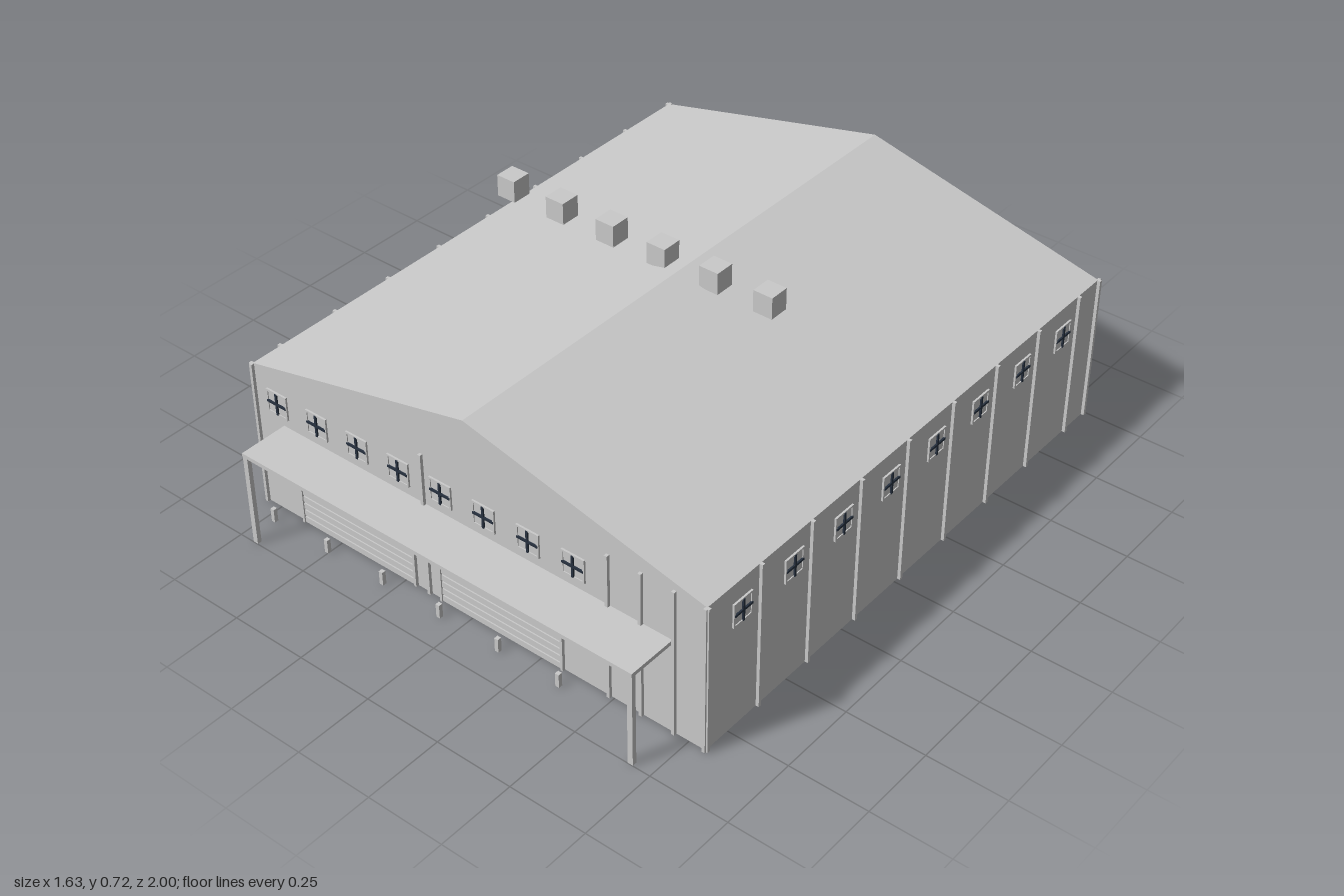
import * as THREE from 'three';

const HALF = 0.803, FRONT = 0.84, BACK = -0.99, EAVE = 0.487, RIDGE = 0.674;
const WIDTH = HALF * 2, DEPTH = FRONT - BACK;

export function createModel() {
  const cladding = new THREE.MeshStandardMaterial({ color: 0xcacaca, side: THREE.DoubleSide });
  cladding.name = 'lightGreyCladding';
  const glazingBar = new THREE.MeshStandardMaterial({ color: 0x27313f });
  glazingBar.name = 'darkSlate';

  const model = new THREE.Group();
  model.name = 'warehouse';

  const box = (parent, name, w, h, d, x, y, z, mat = cladding) => {
    const m = new THREE.Mesh(new THREE.BoxGeometry(w, h, d), mat);
    m.name = name;
    m.position.set(x, y, z);
    parent.add(m);
    return m;
  };

  // Square window: pane, thin surround and a dark cross
  const addWindow = (wall, u) => {
    const g = new THREE.Group();
    g.name = 'window';
    g.position.set(u, 0.387, 0);
    wall.add(g);
    const s = 0.078, t = 0.006;
    box(g, 'windowPane', s, s, 0.006, 0, 0, 0);
    for (const k of [-1, 1]) {
      box(g, 'windowFrameSide', t, s, 0.012, k * (s - t) / 2, 0, 0);
      box(g, 'windowFrameRail', s, t, 0.012, 0, k * (s - t) / 2, 0);
    }
    box(g, 'verticalBar', 0.007, s - t, 0.012, 0, 0, 0.002, glazingBar);
    box(g, 'horizontalBar', s - t, 0.007, 0.012, 0, 0, 0.002, glazingBar);
  };

  // Roller door: backing panel, slats and a surround
  const addDoor = (wall, u, w) => {
    const g = new THREE.Group();
    g.name = 'rollerDoor';
    g.position.x = u;
    wall.add(g);
    const h = 0.298, n = 12, pitch = h / n;
    box(g, 'doorPanel', w, h, 0.006, 0, h / 2, 0);
    for (let i = 0; i < n; i++)
      box(g, 'doorSlat', w - 0.01, pitch * 0.78, 0.005, 0, (i + 0.5) * pitch, 0.0045);
    for (const k of [-1, 1])
      box(g, 'doorJamb', 0.008, h, 0.01, k * w / 2, h / 2, 0.005);
    box(g, 'doorLintel', w + 0.008, 0.01, 0.01, 0, h, 0.005);
  };

  // Each wall starts at its own lower corner, running along local x and facing local z
  const addWall = ({ name, x, z, turn, length, gable, windows, posts, doors = [] }) => {
    const wall = new THREE.Group();
    wall.name = name;
    wall.position.set(x, 0, z);
    wall.rotation.y = turn;
    model.add(wall);
    const s = new THREE.Shape();
    s.moveTo(0, 0);
    s.lineTo(length, 0);
    s.lineTo(length, EAVE);
    if (gable) s.lineTo(length / 2, RIDGE);
    s.lineTo(0, EAVE);
    s.closePath();
    const sheet = new THREE.Mesh(new THREE.ShapeGeometry(s), cladding);
    sheet.name = name + 'Sheet';
    wall.add(sheet);
    windows.forEach(u => addWindow(wall, u));
    [0, ...posts, length].forEach(u => box(wall, 'pilaster', 0.01, EAVE, 0.01, u, EAVE / 2, 0.005));
    doors.forEach(([u, w]) => addDoor(wall, u, w));
  };

  const row = (start, step, n) => Array.from({ length: n }, (_, i) => start + i * step);
  const BAY = 0.2152;

  addWall({
    name: 'frontWall', x: -HALF, z: FRONT, turn: 0, length: WIDTH, gable: true,
    windows: row(0.088, 0.155, 8), posts: [0.643, 1.288, 1.397, 1.505],
    doors: [[0.372, 0.438], [0.908, 0.438]],
  });
  addWall({
    name: 'backWall', x: HALF, z: BACK, turn: Math.PI, length: WIDTH, gable: true,
    windows: row(0.139, BAY, 7), posts: [1, 2, 5, 6, 7].map(i => i * BAY),
    doors: [[0.803, 0.276]],
  });
  const side = { length: DEPTH, gable: false, windows: row(0.141, BAY, 8), posts: row(BAY, BAY, 8) };
  addWall({ ...side, name: 'leftWall', x: HALF, z: FRONT, turn: Math.PI / 2 });
  addWall({ ...side, name: 'rightWall', x: -HALF, z: BACK, turn: -Math.PI / 2 });

  // Two roof slopes, as single sheets
  const slope = Math.hypot(HALF, RIDGE - EAVE), pitchAngle = Math.atan2(RIDGE - EAVE, HALF);
  for (const k of [-1, 1]) {
    const geo = new THREE.PlaneGeometry(slope, DEPTH).rotateX(-Math.PI / 2).rotateZ(-k * pitchAngle);
    const roof = new THREE.Mesh(geo, cladding);
    roof.name = 'roofSlope';
    roof.position.set(k * HALF / 2, (EAVE + RIDGE) / 2, (FRONT + BACK) / 2);
    model.add(roof);
  }

  // Level row of roof ventilators
  row(-0.646, 0.188, 6).forEach(x => box(model, 'roofVentilator', 0.065, 0.07, 0.065, x, 0.687, -0.075));

  // Loading canopy on two posts
  box(model, 'canopy', 1.394, 0.013, 0.16, -0.003, 0.311, 0.92);
  for (const x of [-0.691, 0.685])
    box(model, 'canopyPost', 0.017, 0.306, 0.014, x, 0.153, 0.992);

  // Bollards under the canopy
  row(-0.72, 0.215, 6).forEach(x => box(model, 'bollard', 0.013, 0.045, 0.013, x, 0.0225, 0.897));

  return model;
}
